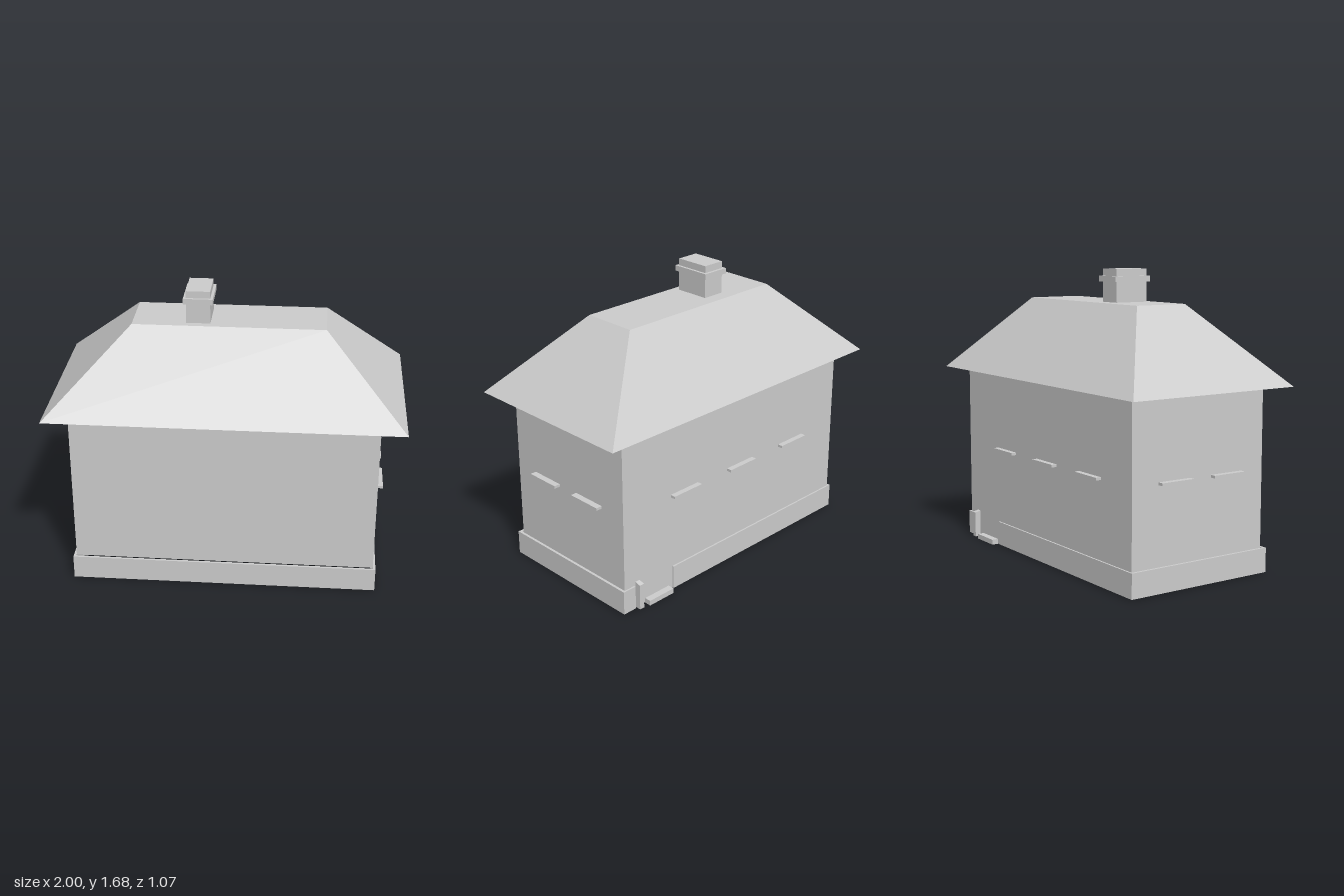
import * as THREE from 'three';

const material = new THREE.MeshStandardMaterial({ color: 0xcccccc, flatShading: true });

function add(group, name, geometry) {
  const mesh = new THREE.Mesh(geometry, material);
  mesh.name = name;
  group.add(mesh);
  return mesh;
}

// Box given by its limits on each axis
function block(group, name, [x0, x1], [y0, y1], [z0, z1]) {
  const mesh = add(group, name, new THREE.BoxGeometry(x1 - x0, y1 - y0, z1 - z0));
  mesh.position.set((x0 + x1) / 2, (y0 + y1) / 2, (z0 + z1) / 2);
  return mesh;
}

const rect = (x0, x1, z0, z1) =>
  [[x0, z0], [x1, z0], [x1, z1], [x0, z1]].map(([x, z]) => new THREE.Vector2(x, z));

// Hollow wall ring: floor plan in x and z, raised from y0 to y1
function ring(group, name, outer, inner, y0, y1) {
  const shape = new THREE.Shape(outer);
  shape.holes.push(new THREE.Path(inner));
  const geometry = new THREE.ExtrudeGeometry(shape, { depth: y1 - y0, bevelEnabled: false });
  geometry.rotateX(Math.PI / 2).translate(0, y1, 0);
  return add(group, name, geometry);
}

// Box whose top face is fitted to its own rectangle
function hippedRoof(bottom, top, y0, y1) {
  const geometry = new THREE.BoxGeometry(1, 1, 1);
  const p = geometry.attributes.position;
  for (let i = 0; i < p.count; i++) {
    const up = p.getY(i) > 0;
    const [xMin, xMax, zMin, zMax] = up ? top : bottom;
    p.setXYZ(i, p.getX(i) > 0 ? xMax : xMin, up ? y1 : y0, p.getZ(i) > 0 ? zMax : zMin);
  }
  geometry.computeVertexNormals();
  return geometry;
}

export function createModel() {
  const house = new THREE.Group();
  house.name = 'house';

  // Walls, and a plinth notched at the rear entrance
  ring(house, 'walls', rect(-0.865, 0.86, -0.445, 0.435), rect(-0.845, 0.84, -0.425, 0.415), 0.14, 1.055);
  const plinthPlan = [
    [-0.88, -0.455], [0.5, -0.455], [0.5, -0.445], [0.79, -0.445], [0.79, -0.455],
    [0.875, -0.455], [0.875, 0.465], [-0.88, 0.465],
  ].map(([x, z]) => new THREE.Vector2(x, z));
  ring(house, 'plinth', plinthPlan, rect(-0.865, 0.86, -0.438, 0.45), 0.005, 0.145);

  // Hipped roof with a flat top
  add(house, 'roof', hippedRoof([-1, 1, -0.535, 0.535], [-0.535, 0.545, -0.177, 0.148], 1.055, 1.493));

  // Chimney with a projecting band
  const chimney = new THREE.Group();
  chimney.name = 'chimney';
  house.add(chimney);
  block(chimney, 'chimneyStack', [-0.235, -0.1], [1.48, 1.68], [-0.1, 0.107]);
  block(chimney, 'chimneyBand', [-0.25, -0.085], [1.608, 1.64], [-0.117, 0.122]);

  // Window sills on the rear and both ends
  const sillY = [0.585, 0.6];
  for (const x of [-0.585, -0.145, 0.3]) {
    block(house, 'rearSill', [x, x + 0.21], sillY, [-0.477, -0.44]);
  }
  for (const z of [-0.275, 0.075]) {
    block(house, 'leftSill', [0.85, 0.897], sillY, [z, z + 0.21]);
    block(house, 'rightSill', [-0.9, -0.855], sillY, [z, z + 0.21]);
  }

  // Rear doorstep and the small slope-topped post beside it
  block(house, 'doorstep', [0.53, 0.71], [0, 0.03], [-0.485, -0.44]);
  const profile = new THREE.Shape([[0.44, 0.005], [0.48, 0.005], [0.48, 0.157], [0.44, 0.168]]
    .map(([z, y]) => new THREE.Vector2(z, y)));
  const post = new THREE.ExtrudeGeometry(profile, { depth: 0.03, bevelEnabled: false });
  post.rotateY(Math.PI / 2).translate(0.75, 0, 0);
  add(house, 'entrancePost', post);

  return house;
}
